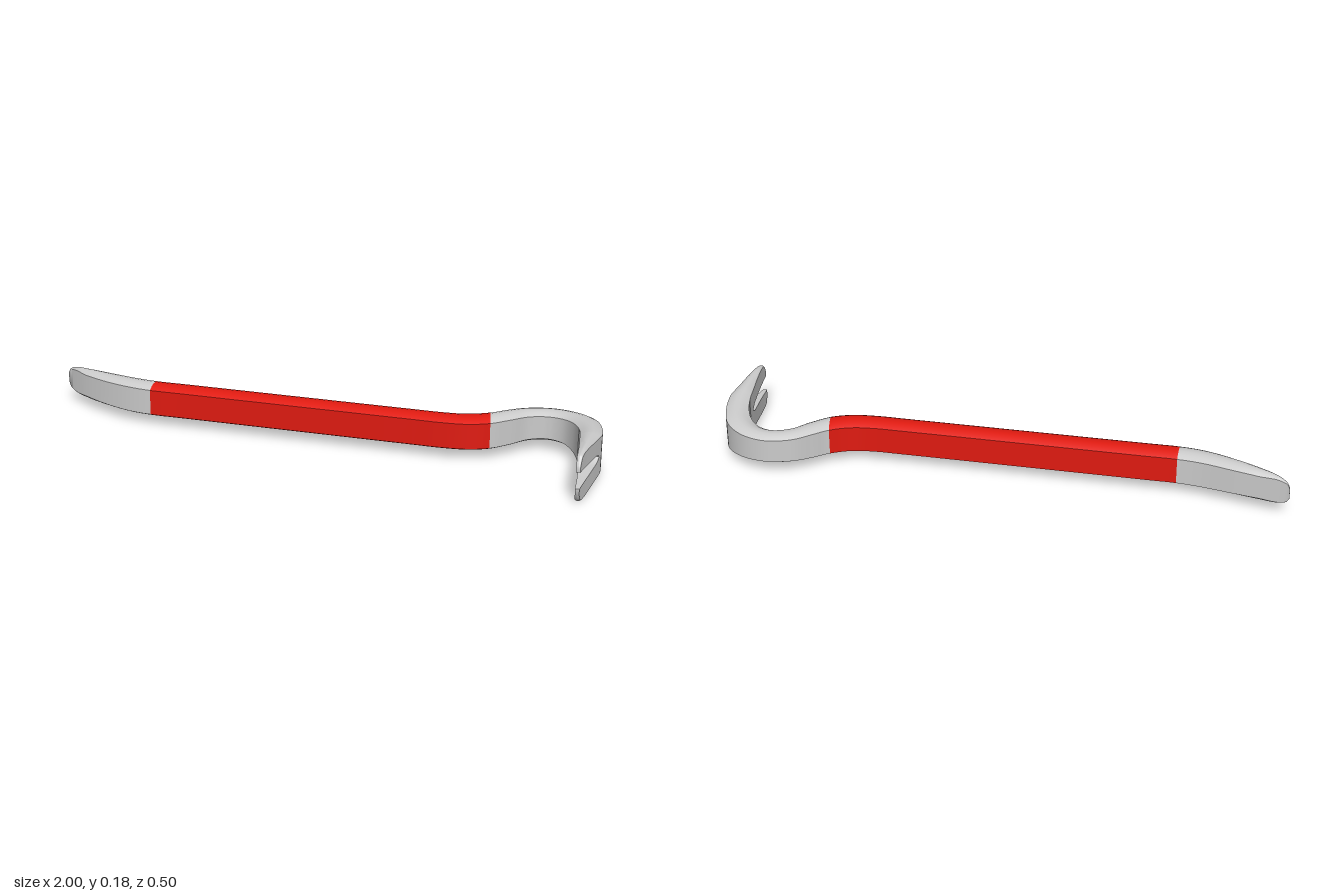
import * as THREE from 'three';
import { toCreasedNormals } from 'three/addons/utils/BufferGeometryUtils.js';

const CENTRE_Y = 0.0885;

// Stations along the bar: outer edge x, z, inner edge x, z, half height
const STATIONS = [
  [-1, -0.168, -1, -0.16, 0.02],
  [-0.99, -0.164, -0.99, -0.152, 0.036],
  [-0.96, -0.157, -0.96, -0.13, 0.049],
  [-0.9, -0.146, -0.9, -0.092, 0.055],
  [-0.8, -0.125, -0.8, -0.045, 0.058],
  [-0.7, -0.103, -0.7, -0.014, 0.06],
  [-0.615, -0.094, -0.615, -0.003, 0.06], // grip starts
  [-0.5, -0.094, -0.5, -0.003, 0.06],
  [0.35, -0.094, 0.35, -0.003, 0.06],
  [0.44, -0.095, 0.45, -0.003, 0.06],
  [0.52, -0.106, 0.54, -0.013, 0.06],
  [0.593, -0.14, 0.613, -0.043, 0.06], // grip ends
  [0.64, -0.18, 0.675, -0.098, 0.059],
  [0.7, -0.225, 0.73, -0.152, 0.056],
  [0.79, -0.25, 0.79, -0.172, 0.055],
  [0.88, -0.23, 0.845, -0.157, 0.058],
  [0.95, -0.172, 0.885, -0.115, 0.065],
  [0.985, -0.09, 0.912, -0.055, 0.073],
  [1, 0, 0.925, 0, 0.081],
  [0.997, 0.03, 0.929, 0.03, 0.084], // fork starts
  [0.983, 0.13, 0.942, 0.13, 0.0885],
  [0.973, 0.2, 0.949, 0.2, 0.087],
  [0.969, 0.23, 0.951, 0.23, 0.079],
  [0.967, 0.248, 0.953, 0.248, 0.053],
];
const GRIP_START = 6, GRIP_END = 11, FORK = 19, LAST = STATIONS.length - 1;

const edge = (k) => new THREE.CatmullRomCurve3(
  STATIONS.map((s) => new THREE.Vector3(s[k], s[4], s[k + 1])), false, 'centripetal');
const outerEdge = edge(0), innerEdge = edge(2);

// Half width of the nail slot at depth z
const SLOT = [[0.03, 0], [0.045, 0.01], [0.06, 0.0145], [0.15, 0.022], [0.248, 0.029]];
function slotAt(z) {
  for (let i = 1; i < SLOT.length; i++) {
    const [z0, w0] = SLOT[i - 1], [z1, w1] = SLOT[i];
    if (z <= z1) return w0 + (w1 - w0) * Math.max(0, (z - z0) / (z1 - z0));
  }
  return 0.029;
}

// Cross-section: flat outer and inner faces, gently domed top and bottom.
// side 0 is the whole bar, +1 and -1 are the upper and lower prongs.
function section(station, side) {
  const o = outerEdge.getPoint(station / LAST), i = innerEdge.getPoint(station / LAST);
  const h = o.y, thick = Math.hypot(o.x - i.x, o.z - i.z);
  const dome = Math.min(0.014, 0.25 * thick);
  const upper = [];
  for (let k = 0; k <= 5; k++) {
    const u = k / 5;
    upper.push([u, h - dome * (2 * u - 1) ** 2]);
  }
  const flip = (list) => list.map(([u, y]) => [u, -y]).reverse();
  let loop;
  if (side === 0) loop = [...upper, ...flip(upper)];
  else {
    const n = slotAt(o.z);
    loop = [[0, n], ...upper, [1, n]];
    if (side < 0) loop = flip(loop);
  }
  return loop.map(([u, y]) => [o.x + (i.x - o.x) * u, CENTRE_Y + y, o.z + (i.z - o.z) * u]);
}

// Skin the cross-sections between two stations
function loft(name, from, to, side, color, capStart, capEnd) {
  const perStation = 6, rings = (to - from) * perStation;
  const pos = [], index = [];
  let n = 0;
  for (let r = 0; r <= rings; r++) {
    const loop = section(from + r / perStation, side);
    n = loop.length;
    pos.push(...loop.flat());
  }
  for (let r = 0; r < rings; r++) {
    for (let j = 0; j < n; j++) {
      const a = r * n + j, b = r * n + (j + 1) % n;
      index.push(a, b, a + n, b, b + n, a + n);
    }
  }
  const end = rings * n;
  for (let j = 1; j < n - 1; j++) {
    if (capStart) index.push(0, j + 1, j);
    if (capEnd) index.push(end, end + j, end + j + 1);
  }
  const geo = new THREE.BufferGeometry();
  geo.setAttribute('position', new THREE.Float32BufferAttribute(pos, 3));
  geo.setIndex(index);
  const mesh = new THREE.Mesh(toCreasedNormals(geo, 0.7), new THREE.MeshStandardMaterial({ color }));
  mesh.name = name;
  return mesh;
}

export function createModel() {
  const steel = 0xcccccc, red = 0xe01a10;
  const group = new THREE.Group();
  group.name = 'pryBar';
  group.add(
    loft('chiselEnd', 0, GRIP_START, 0, steel, true, false),
    loft('grip', GRIP_START, GRIP_END, 0, red, false, false),
    loft('hook', GRIP_END, FORK, 0, steel, false, false),
    loft('upperProng', FORK, LAST, 1, steel, false, true),
    loft('lowerProng', FORK, LAST, -1, steel, false, true),
  );
  return group;
}
